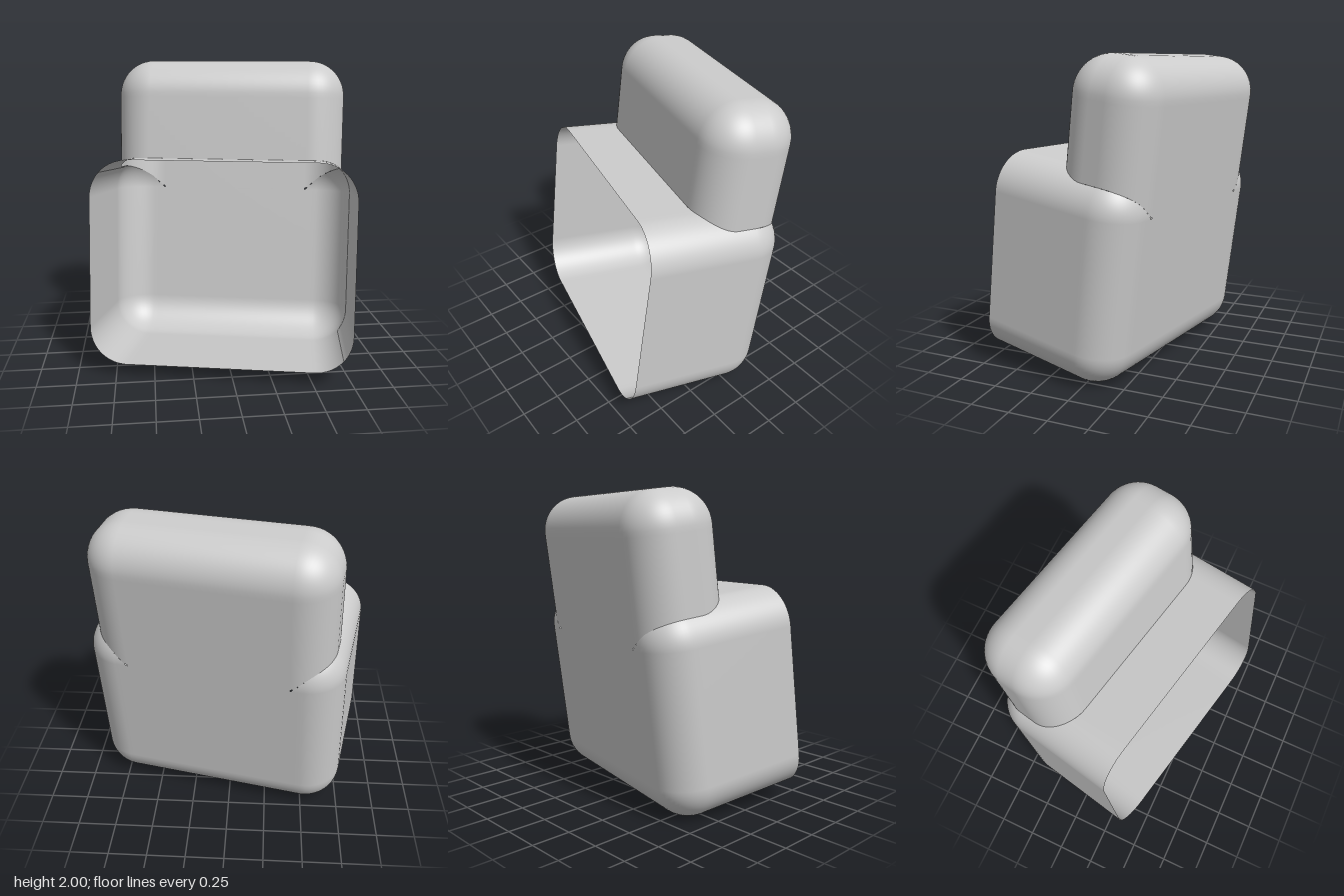
import * as THREE from 'three';

const R = 0.24;        // edge rounding of both boxes
const MOUTH = 0.56;    // plane of the open front
const EPS = 1e-4;

// Extents of the two joined hollow boxes, in the tilted frame
const LOWER = new THREE.Box3(new THREE.Vector3(-0.817, 0.02, -0.385), new THREE.Vector3(0.876, 1.347, 0.9));
const UPPER = new THREE.Box3(new THREE.Vector3(-0.75, 0.6, -0.385), new THREE.Vector3(0.802, 2.018, 0.205));

// Signed distance from a point to a rounded box
function distance(box, p) {
  const c = box.getCenter(new THREE.Vector3());
  const h = box.getSize(new THREE.Vector3()).multiplyScalar(0.5).subScalar(R);
  const q = [Math.abs(p.x - c.x) - h.x, Math.abs(p.y - c.y) - h.y, Math.abs(p.z - c.z) - h.z];
  const outside = Math.hypot(...q.map((v) => Math.max(v, 0)));
  return outside + Math.min(Math.max(...q), 0) - R;
}

// Rounded box shell, trimmed to the region where keep(point) is positive
function trimmedShell(box, keep, n = 44) {
  const size = box.getSize(new THREE.Vector3());
  const centre = box.getCenter(new THREE.Vector3());
  const inner = box.clone().expandByScalar(-R);
  const grid = new THREE.BoxGeometry(size.x, size.y, size.z, n, n, n);
  grid.translate(centre.x, centre.y, centre.z);

  // Pull every grid point onto the rounded surface
  const at = grid.attributes.position;
  const points = [];
  for (let i = 0; i < at.count; i++) {
    const p = new THREE.Vector3().fromBufferAttribute(at, i);
    const core = inner.clampPoint(p, new THREE.Vector3());
    const normal = p.sub(core).normalize();
    const pos = core.addScaledVector(normal, R);
    points.push({ pos, normal, f: keep(pos) });
  }

  // Cut each triangle along the trim line
  const positions = [];
  const normals = [];
  const index = grid.index.array;
  for (let i = 0; i < index.length; i += 3) {
    const poly = [];
    for (let k = 0; k < 3; k++) {
      const a = points[index[i + k]];
      const b = points[index[i + (k + 1) % 3]];
      if (a.f >= 0) poly.push(a);
      if ((a.f >= 0) !== (b.f >= 0)) {
        const t = a.f / (a.f - b.f);
        poly.push({
          pos: a.pos.clone().lerp(b.pos, t),
          normal: a.normal.clone().lerp(b.normal, t).normalize(),
        });
      }
    }
    for (let k = 2; k < poly.length; k++) {
      for (const v of [poly[0], poly[k - 1], poly[k]]) {
        positions.push(...v.pos.toArray());
        normals.push(...v.normal.toArray());
      }
    }
  }
  const geometry = new THREE.BufferGeometry();
  geometry.setAttribute('position', new THREE.Float32BufferAttribute(positions, 3));
  geometry.setAttribute('normal', new THREE.Float32BufferAttribute(normals, 3));
  return geometry;
}

export function createModel() {
  const group = new THREE.Group();
  group.name = 'hollowHousing';
  const material = new THREE.MeshStandardMaterial({ color: 0xcccccc, side: THREE.DoubleSide });

  // Lower housing: open at the front, cut away where the upper box joins
  const lower = new THREE.Mesh(
    trimmedShell(LOWER, (p) => Math.min(distance(UPPER, p) + EPS, MOUTH - p.z)), material);
  lower.name = 'openHousing';

  // Upper box: only the part rising out of the housing
  const upper = new THREE.Mesh(
    trimmedShell(UPPER, (p) => distance(LOWER, p) - EPS), material);
  upper.name = 'upperBox';

  // Lean back and turn to the side
  const pose = new THREE.Group();
  pose.name = 'tiltedShell';
  pose.rotation.set(THREE.MathUtils.degToRad(-7), THREE.MathUtils.degToRad(-12.2), 0, 'YXZ');
  pose.add(lower, upper);
  group.add(pose);
  return group;
}
